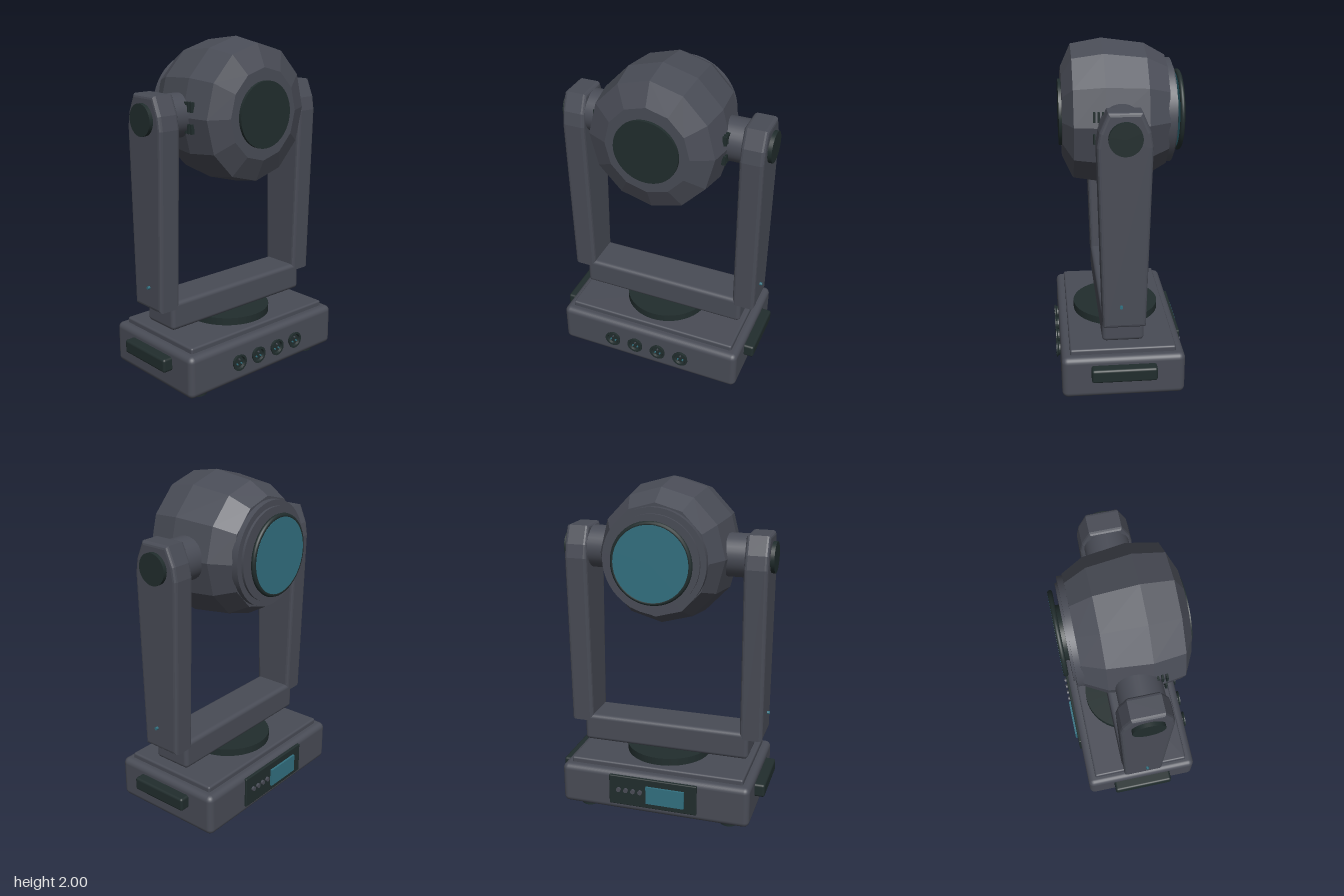
import * as THREE from 'three';
import { RoundedBoxGeometry } from 'three/addons/geometries/RoundedBoxGeometry.js';

export function createModel() {
  const mat = (name, color) => {
    const m = new THREE.MeshStandardMaterial({ color });
    m.name = name;
    return m;
  };
  const grey = mat('housing grey', 0x494c56);
  const dark = mat('dark rubber', 0x212d2d);
  const teal = mat('teal glass', 0x327080);

  const model = new THREE.Group();
  model.name = 'movingHeadLight';

  const add = (parent, name, geo, material, x = 0, y = 0, z = 0) => {
    const mesh = new THREE.Mesh(geo, material);
    mesh.name = name;
    mesh.position.set(x, y, z);
    parent.add(mesh);
    return mesh;
  };
  const group = (name, parent = model) => {
    const g = new THREE.Group();
    g.name = name;
    parent.add(g);
    return g;
  };
  const box = (w, h, d, r) => new RoundedBoxGeometry(w, h, d, 3, r);
  // Cylinders along each axis
  const cylY = (r0, r1, h, n = 32) => new THREE.CylinderGeometry(r1, r0, h, n);
  const cylZ = (r0, r1, h, n = 32) => cylY(r0, r1, h, n).rotateX(Math.PI / 2);
  const cylX = (r, h, n = 32) => cylY(r, r, h, n).rotateZ(-Math.PI / 2);

  // Base with feet and turntable
  const base = group('base');
  add(base, 'baseBody', box(1.166, 0.255, 0.71, 0.035), grey, 0, 0.1625, 0);
  add(base, 'baseTopPlate', box(1.07, 0.06, 0.61, 0.012), grey, 0, 0.292, 0);
  add(base, 'turntable', cylY(0.26, 0.26, 0.05, 48), dark, 0, 0.342, 0);
  for (const x of [-0.445, 0.445])
    for (const z of [-0.245, 0.245])
      add(base, 'foot', cylY(0.053, 0.053, 0.045, 24), dark, x, 0.0225, z);
  for (const s of [-1, 1])
    add(base, 'carryHandle', box(0.085, 0.082, 0.375, 0.015), dark, s * 0.6, 0.204, 0);

  // Row of front sockets: flared collar, recessed face and pins
  const collar = new THREE.LatheGeometry(
    [[0.041, 0], [0.041, 0.012], [0.05, 0.02], [0.05, 0.026], [0.038, 0.026], [0.034, 0.012], [0, 0.012]]
      .map(([r, y]) => new THREE.Vector2(r, y)), 28)
    .toNonIndexed().rotateX(Math.PI / 2);
  collar.computeVertexNormals();
  for (const x of [-0.23, -0.077, 0.077, 0.23]) {
    const socket = group('socket', base);
    socket.position.set(x, 0.165, 0.352);
    add(socket, 'socketCollar', collar, dark);
    for (let i = 0; i < 3; i++) {
      const a = Math.PI / 2 + i * Math.PI * 2 / 3;
      add(socket, 'socketPin', cylZ(0.005, 0.005, 0.01, 10), i ? teal : grey,
        0.018 * Math.cos(a), 0.018 * Math.sin(a), 0.016);
    }
  }

  // Rear control panel
  const panel = group('controlPanel', base);
  add(panel, 'panelPlate', box(0.544, 0.19, 0.026, 0.006), dark, 0, 0.175, -0.355);
  add(panel, 'display', new THREE.BoxGeometry(0.235, 0.11, 0.016), teal, -0.08, 0.172, -0.373);
  for (let i = 0; i < 4; i++)
    add(panel, 'button', cylZ(0.014, 0.014, 0.016, 16), grey, 0.075 + i * 0.045, 0.182, -0.373);

  // Yoke crossbar and mirrored arms
  const yoke = group('yoke');
  add(yoke, 'crossbar', box(1.04, 0.17, 0.24, 0.025), grey, 0, 0.445, 0);
  const outline = new THREE.Shape(
    [[-0.12, 0.49], [0.12, 0.49], [0.148, 1.53], [0.135, 1.61], [0.09, 1.715],
      [-0.09, 1.715], [-0.135, 1.61], [-0.148, 1.53]].map(([x, y]) => new THREE.Vector2(x, y)));
  const bevel = 0.02;
  const armGeo = new THREE.ExtrudeGeometry(outline, {
    depth: 0.138 - 2 * bevel, bevelEnabled: true, bevelThickness: bevel,
    bevelSize: bevel, bevelOffset: -bevel, bevelSegments: 3,
  }).translate(0, 0, -0.049).rotateY(Math.PI / 2);
  for (const s of [-1, 1]) {
    const arm = group(s > 0 ? 'leftArm' : 'rightArm', yoke);
    add(arm, 'armShell', armGeo, grey, s * 0.535, 0, 0);
    add(arm, 'pivotCap', cylX(0.09, 0.04), dark, s * 0.607, 1.58, 0);
    add(arm, 'pivotShaft', cylX(0.125, 0.15), grey, s * 0.41, 1.58, 0);
    add(arm, 'indicatorLight', cylX(0.009, 0.03, 12), teal, s * 0.605, 0.625, 0.02);
  }

  // Faceted lamp head
  const head = group('head');
  head.position.y = 1.58;
  const shell = new THREE.LatheGeometry(
    [[0, -0.28], [0.32, -0.28], [0.388, -0.16], [0.42, 0.08], [0.39, 0.254], [0.262, 0.312], [0, 0.312]]
      .map(([r, y]) => new THREE.Vector2(r, y)), 12)
    .toNonIndexed().rotateX(Math.PI / 2).scale(0.95, 1, 1);
  shell.computeVertexNormals();
  add(head, 'headShell', shell, grey);
  add(head, 'frontCap', cylZ(0.19, 0.19, 0.03, 48), dark, 0, 0, 0.314);

  // Stepped rings and lens at the back of the head
  add(head, 'outerRing', cylZ(0.3, 0.3, 0.05, 48), grey, 0, 0, -0.287);
  add(head, 'innerRing', cylZ(0.266, 0.266, 0.03, 48), grey, 0, 0, -0.311);
  add(head, 'lensBarrel', cylZ(0.15, 0.15, 0.04), dark, 0, 0, -0.335);
  add(head, 'lensRim', new THREE.TorusGeometry(0.221, 0.014, 10, 48), dark, 0, 0, -0.36);
  add(head, 'lens', cylZ(0.216, 0.216, 0.026, 48), teal, 0, 0, -0.361);

  // Vent slots on both cheeks
  for (const s of [-1, 1])
    for (const y of [-0.06, 0.06])
      for (let i = 0; i < 3; i++)
        add(head, 'ventSlot', new THREE.BoxGeometry(0.024, 0.055, 0.012), dark,
          s * 0.382, y, 0.146 - i * 0.024);

  return model;
}
